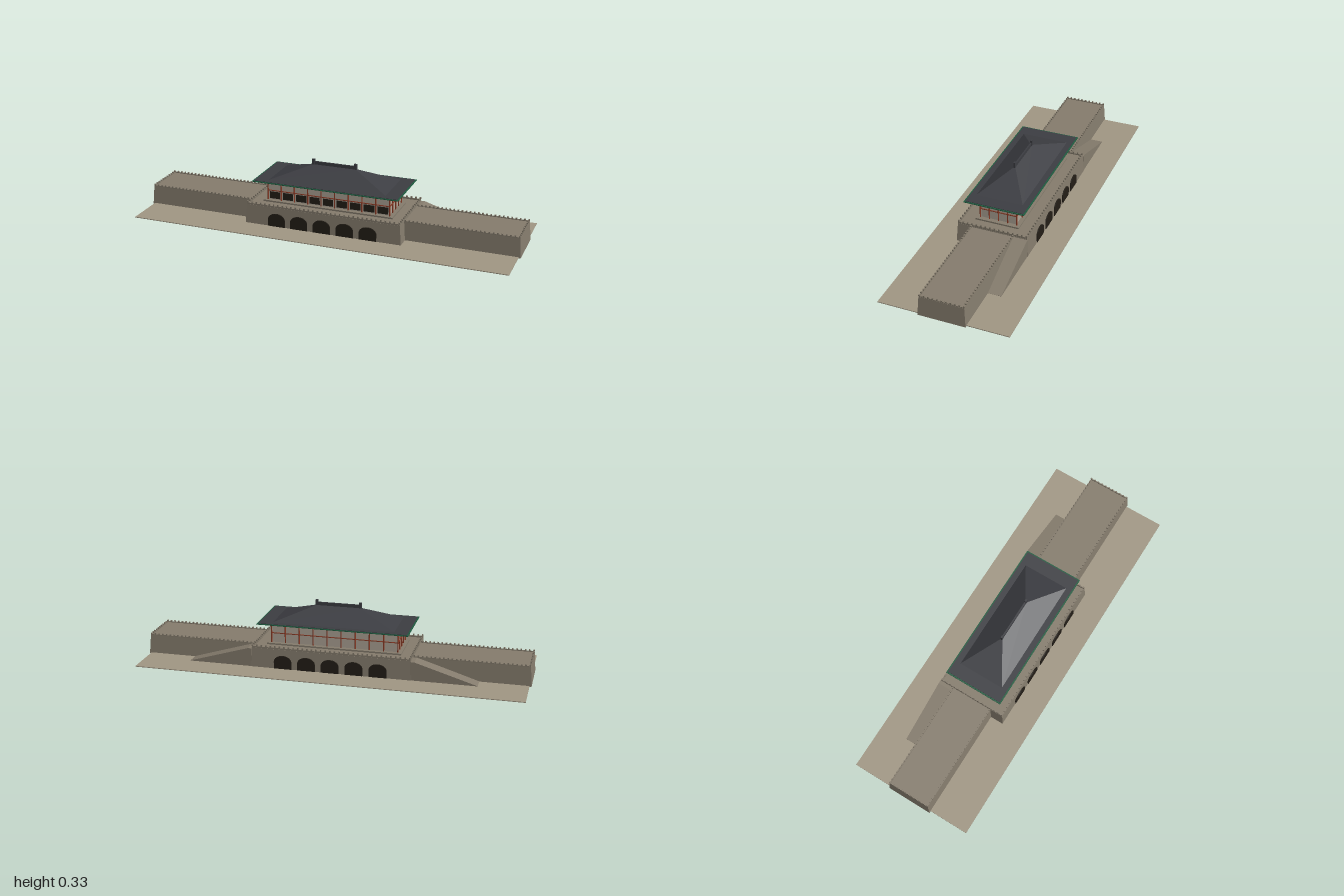
import * as THREE from 'three';
import { mergeGeometries } from 'three/addons/utils/BufferGeometryUtils.js';

const mat = (color) => new THREE.MeshStandardMaterial({ color, flatShading: true });
const stone = mat(0x857c6d), groundMat = mat(0xa09683), tile = mat(0x3c3d42), green = mat(0x1f5c40),
  red = mat(0x8a3a25), plaster = mat(0xb0a698), dark = mat(0x231e17);

// Box geometry centred on x, z with its base at y
function box(w, h, d, x, y, z) {
  return new THREE.BoxGeometry(w, h, d).translate(x, y + h / 2, z);
}

// Box whose top differs in size from its base
function taper(w0, d0, w1, d1, y0, y1) {
  const g = new THREE.BoxGeometry(1, 1, 1);
  const p = g.attributes.position;
  for (let i = 0; i < p.count; i++) {
    const top = p.getY(i) > 0;
    p.setXYZ(i, p.getX(i) * (top ? w1 : w0), top ? y1 : y0, p.getZ(i) * (top ? d1 : d0));
  }
  g.computeVertexNormals();
  return g;
}

// Low parapet and evenly spaced merlons along a straight edge
function battlement(x0, z0, x1, z1, y, railH, merlonH, step) {
  const len = Math.hypot(x1 - x0, z1 - z0);
  const alongX = Math.abs(x1 - x0) > Math.abs(z1 - z0);
  const t = 0.006;
  const parts = [box(alongX ? len + t : t, railH, alongX ? t : len + t, (x0 + x1) / 2, y, (z0 + z1) / 2)];
  const n = Math.round(len / step);
  for (let i = 0; i <= n; i++) {
    const k = i / n;
    parts.push(box(0.0075, merlonH, 0.0075, x0 + (x1 - x0) * k, y + railH, z0 + (z1 - z0) * k));
  }
  return parts;
}

export function createModel() {
  const model = new THREE.Group();
  const add = (name, parts, material, parent = model) => {
    const mesh = new THREE.Mesh(Array.isArray(parts) ? mergeGeometries(parts) : parts, material);
    mesh.name = name;
    parent.add(mesh);
    return mesh;
  };

  add('ground', box(1.98, 0.004, 0.66, 0, 0.001, 0), groundMat);

  // Central gate platform with battered sides
  add('gatePlatform', taper(0.84, 0.378, 0.822, 0.366, 0, 0.105), stone);
  const bx = 0.407, bz = 0.179;
  add('platformBattlements', [
    ...battlement(-bx, bz, bx, bz, 0.105, 0.008, 0.009, 0.024),
    ...battlement(-bx, -bz, bx, -bz, 0.105, 0.008, 0.009, 0.024),
    ...battlement(-bx, -bz, -bx, bz, 0.105, 0.008, 0.009, 0.024),
    ...battlement(bx, -bz, bx, bz, 0.105, 0.008, 0.009, 0.024),
  ], stone);

  // Five arched passages running through the platform
  const arch = new THREE.Shape();
  arch.moveTo(-0.046, 0);
  arch.lineTo(0.046, 0);
  arch.lineTo(0.046, 0.042);
  arch.absellipse(0, 0.042, 0.046, 0.032, 0, Math.PI, false);
  arch.lineTo(-0.046, 0);
  const passages = [-0.246, -0.123, 0, 0.123, 0.246].map((x) =>
    new THREE.ExtrudeGeometry(arch, { depth: 0.382, bevelEnabled: false, curveSegments: 8 }).translate(x, 0, -0.191));
  add('archPassages', passages, dark);

  // Side walls with battlements, and ramps behind them
  for (const s of [1, -1]) {
    const side = new THREE.Group();
    side.name = s > 0 ? 'leftWall' : 'rightWall';
    model.add(side);
    add('wallBody', taper(0.6, 0.24, 0.584, 0.226, 0, 0.101).translate(s * 0.7, 0, 0), stone, side);
    const xi = s * 0.416, xo = s * 0.988, z = 0.11;
    add('wallBattlements', [
      ...battlement(xi, z, xo, z, 0.101, 0.004, 0.007, 0.021),
      ...battlement(xi, -z, xo, -z, 0.101, 0.004, 0.007, 0.021),
      ...battlement(xo, -z, xo, z, 0.101, 0.004, 0.007, 0.021),
    ], stone, side);
    const wedge = new THREE.Shape([
      new THREE.Vector2(s * 0.41, 0), new THREE.Vector2(s * 0.745, 0),
      new THREE.Vector2(s * 0.745, 0.006), new THREE.Vector2(s * 0.43, 0.101), new THREE.Vector2(s * 0.41, 0.101),
    ]);
    add('ramp', new THREE.ExtrudeGeometry(wedge, { depth: 0.072, bevelEnabled: false }).translate(0, 0, -0.187), stone, side);
  }

  // Timber hall: plaster core, posts, rails and front doors
  const hall = new THREE.Group();
  hall.name = 'hall';
  model.add(hall);
  const hx = 0.33, hz = 0.097, y0 = 0.105, bays = 9, sideBays = 4;
  add('hallPlinth', box(0.7, 0.008, 0.23, 0, y0, 0), stone, hall);
  add('hallWalls', box(2 * hx - 0.008, 0.1, 2 * hz - 0.008, 0, y0, 0), plaster, hall);
  const posts = [], doors = [];
  const post = (x, z) => posts.push(new THREE.CylinderGeometry(0.0035, 0.0035, 0.103, 8).translate(x, y0 + 0.0515, z));
  for (let i = 0; i <= bays; i++) {
    const x = -hx + (2 * hx * i) / bays;
    post(x, hz);
    post(x, -hz);
    if (i < bays) doors.push(box(0.056, 0.037, 0.003, x + hx / bays, y0 + 0.013, hz - 0.004));
  }
  for (let i = 1; i < sideBays; i++) {
    const z = -hz + (2 * hz * i) / sideBays;
    post(hx, z);
    post(-hx, z);
  }
  add('posts', posts, red, hall);
  add('doors', doors, dark, hall);
  const rails = [];
  for (const [y, h, t] of [[0.161, 0.004, 0.004], [0.202, 0.007, 0.008]]) {
    for (const s of [1, -1]) {
      rails.push(box(2 * hx, h, t, 0, y, s * hz), box(t, h, 2 * hz, s * hx, y, 0));
    }
  }
  // Projecting beam ends at the corners
  for (const s of [1, -1]) {
    rails.push(box(0.69, 0.004, 0.005, 0, 0.203, s * hz), box(0.005, 0.004, 0.226, s * hx, 0.203, 0));
  }
  add('rails', rails, red, hall);

  // Hipped roof on a broad thin eave, with ridge and end finials
  const roof = new THREE.Group();
  roof.name = 'roof';
  model.add(roof);
  add('eaveEdge', box(0.782, 0.004, 0.318, 0, 0.2215, 0), green, roof);
  add('eaveTop', box(0.768, 0.002, 0.304, 0, 0.2255, 0), tile, roof);
  add('hippedRoof', taper(0.632, 0.246, 0.23, 0.006, 0.227, 0.3), tile, roof);
  add('ridge', box(0.24, 0.018, 0.008, 0, 0.298, 0), tile, roof);
  add('ridgeFinials', [1, -1].map((s) => box(0.014, 0.03, 0.01, s * 0.114, 0.298, 0)), tile, roof);

  return model;
}
